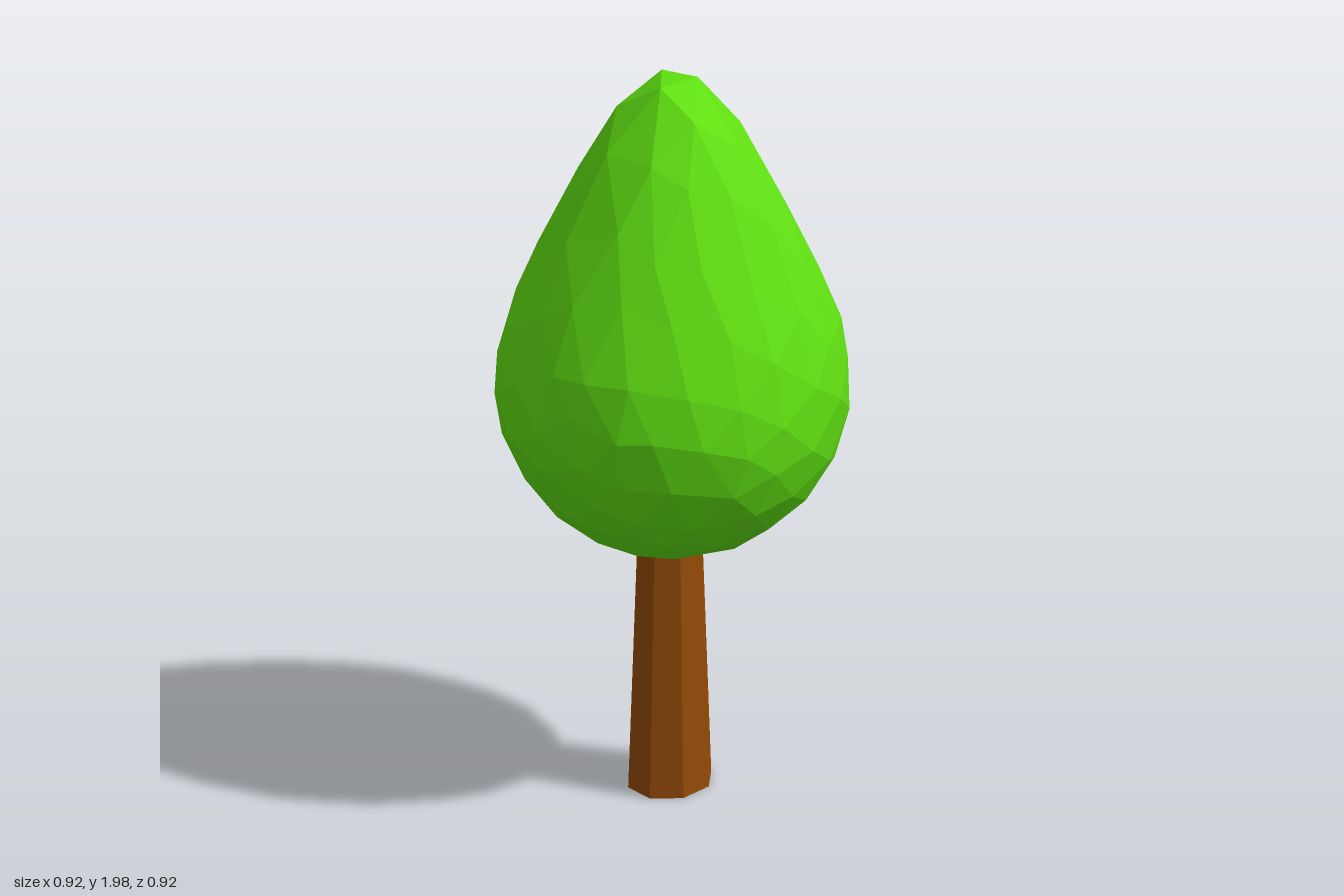
import * as THREE from 'three';
import { mergeVertices } from 'three/addons/utils/BufferGeometryUtils.js';

// Small seeded generator, returns -1..1
function seeded(seed) {
  return () => {
    seed = (seed * 16807) % 2147483647;
    return (seed / 2147483647) * 2 - 1;
  };
}

// Upper canopy outline (radius, height) from the widest ring to the tip
const upperProfile = new THREE.SplineCurve([
  [0.465, 1.13], [0.44, 1.29], [0.36, 1.49], [0.255, 1.71], [0.115, 1.94], [0, 2.01],
].map(([r, y]) => new THREE.Vector2(r, y)));

// Faceted ball whose upper half is drawn up into a cone with a blunt tip
function canopyGeometry() {
  const ball = new THREE.IcosahedronGeometry(1, 3);
  ball.deleteAttribute('normal');
  ball.deleteAttribute('uv');
  const geo = mergeVertices(ball, 1e-4);
  geo.rotateX(0.17).rotateY(0.9);
  const rand = seeded(4711);
  const pos = geo.attributes.position;
  const v = new THREE.Vector3();
  for (let i = 0; i < pos.count; i++) {
    // Shift each corner along the surface for irregular facets
    v.fromBufferAttribute(pos, i);
    v.x += rand() * 0.05;
    v.y += rand() * 0.05;
    v.z += rand() * 0.05;
    v.normalize();
    if (v.y < 0) {
      pos.setXYZ(i, v.x * 0.465, 1.13 + 0.465 * v.y, v.z * 0.465);
    } else {
      const p = upperProfile.getPoint(Math.asin(v.y) / (Math.PI / 2));
      const around = Math.atan2(v.z, v.x);
      pos.setXYZ(i, p.x * Math.cos(around), p.y, p.x * Math.sin(around));
    }
  }
  const flat = geo.toNonIndexed();
  flat.computeVertexNormals();
  return flat;
}

export function createModel() {
  const tree = new THREE.Group();
  tree.name = 'tree';

  const canopy = new THREE.Mesh(
    canopyGeometry(),
    new THREE.MeshStandardMaterial({ color: 0x60e012, flatShading: true })
  );
  canopy.name = 'canopy';

  // Eight-sided tapered trunk, oval along one diagonal, its top hidden in the canopy
  const trunk = new THREE.Mesh(
    new THREE.CylinderGeometry(0.097, 0.128, 0.76, 8, 1, false, 0.576)
      .scale(1.13, 1, 0.875)
      .rotateY(Math.PI / 4),
    new THREE.MeshStandardMaterial({ color: 0x944a06, flatShading: true })
  );
  trunk.name = 'trunk';
  trunk.position.set(0.007, 0.38, -0.025);

  tree.add(canopy, trunk);
  return tree;
}
